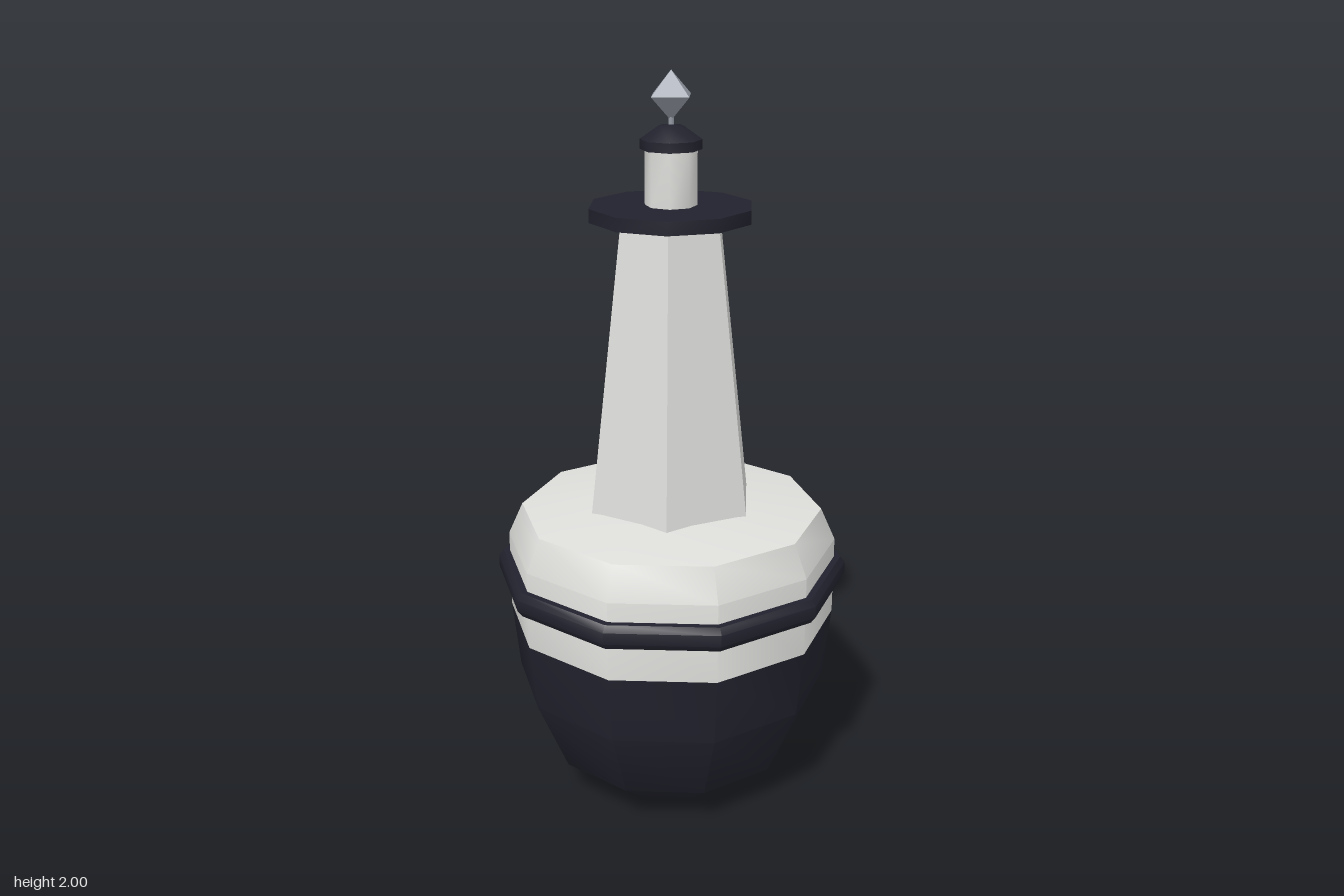
import * as THREE from 'three';
import { toCreasedNormals } from 'three/addons/utils/BufferGeometryUtils.js';

export function createModel() {
  const group = new THREE.Group();
  group.name = 'buoy';

  const material = (name, color, flatShading = false) => {
    const m = new THREE.MeshStandardMaterial({ color, flatShading });
    m.name = name;
    return m;
  };
  const navy = material('navy', 0x22222e);
  const white = material('offWhite', 0xdededb);
  const grey = material('grey', 0x959ba5);

  const add = (name, geometry, mat, y = 0) => {
    const mesh = new THREE.Mesh(geometry, mat);
    mesh.name = name;
    mesh.position.y = y;
    group.add(mesh);
    return mesh;
  };

  // Faceted solid of revolution; shallow angles stay smooth, steep edges stay sharp
  const turned = (profile, sides, start = 0, crease = 0.65) => {
    const points = profile.map(([r, y]) => new THREE.Vector2(r, y));
    return toCreasedNormals(new THREE.LatheGeometry(points, sides, start), crease);
  };
  const quarter = Math.PI / 2;

  // Ten-sided float: dark underbody, pale upper body and sloping deck
  add('hullBottom', turned([[0, 0], [0.2, 0]], 10, quarter), navy);
  add('lowerHull', turned([[0.2, 0], [0.345, 0.11], [0.435, 0.32], [0.455, 0.51]], 10, quarter), navy);
  add('upperHull', turned([[0.455, 0.51], [0.455, 0.73], [0.415, 0.82]], 10, quarter), white);
  add('deck', turned([[0.415, 0.82], [0.2, 0.85], [0, 0.85]], 10, quarter), white);

  // Chamfered fender band around the float
  add('fender', turned([
    [0.45, 0.61], [0.473, 0.61], [0.486, 0.628],
    [0.486, 0.66], [0.473, 0.677], [0.45, 0.677],
  ], 10, quarter), navy);

  // Six-sided tapering tower
  const tower = toCreasedNormals(new THREE.CylinderGeometry(0.144, 0.241, 0.8, 6), 0.3);
  add('tower', tower, white, 1.235);

  // Gallery plate
  const gallery = toCreasedNormals(new THREE.CylinderGeometry(0.218, 0.218, 0.036, 10), 0.65);
  add('gallery', gallery, navy, 1.642);

  // Lantern and its bevelled cap
  add('lantern', toCreasedNormals(new THREE.CylinderGeometry(0.068, 0.068, 0.15, 8), 0.85), white, 1.735);
  add('lanternCap', turned([
    [0, 1.803], [0.08, 1.803], [0.08, 1.828], [0.032, 1.862], [0, 1.866],
  ], 8, 0, 0.85), navy);

  // Thin stem and diamond top mark
  add('stem', new THREE.CylinderGeometry(0.008, 0.008, 0.06, 6), grey, 1.88);
  const diamond = new THREE.OctahedronGeometry(1);
  diamond.rotateY(Math.PI / 4);
  diamond.scale(0.068, 0.063, 0.068);
  add('topMark', diamond, grey, 1.937);

  return group;
}
